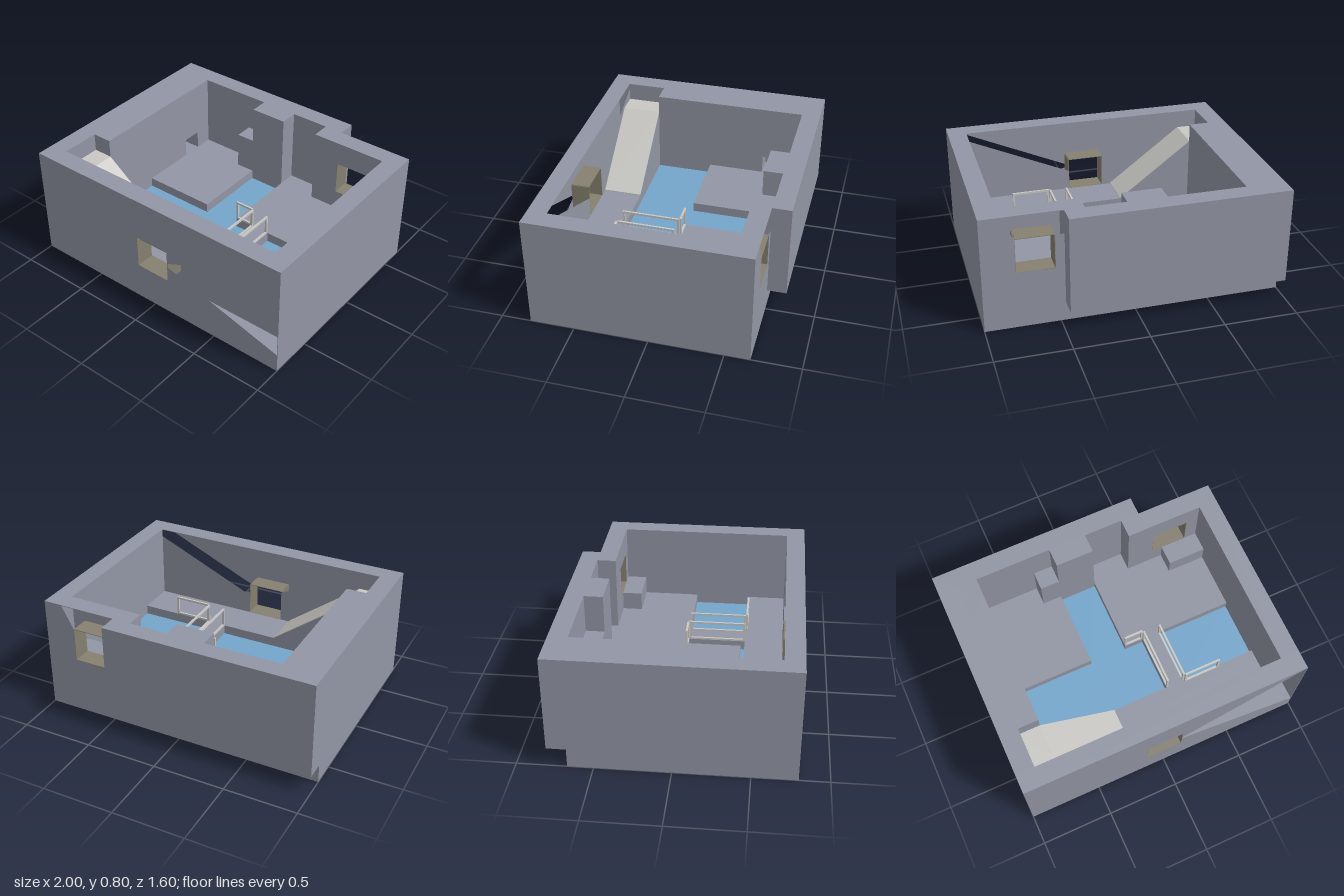
import * as THREE from 'three';

export function createModel() {
  const model = new THREE.Group();
  const mat = (name, color) => {
    const m = new THREE.MeshStandardMaterial({ color, side: THREE.DoubleSide });
    m.name = name;
    return m;
  };
  const stone = mat('grey stone', 0x9296a4);
  const water = mat('blue water', 0x74a6cb);
  const cream = mat('cream trim', 0xc9c8c4);
  const taupe = mat('taupe reveal', 0x85806f);

  const add = (name, geo, material) => {
    const m = new THREE.Mesh(geo, material);
    m.name = name;
    model.add(m);
    return m;
  };
  const box = (name, x0, x1, y0, y1, z0, z1, material = stone) =>
    add(name, new THREE.BoxGeometry(x1 - x0, y1 - y0, z1 - z0), material)
      .position.set((x0 + x1) / 2, (y0 + y1) / 2, (z0 + z1) / 2);
  const shape = pts => new THREE.Shape(pts.map(p => new THREE.Vector2(p[0], p[1])));
  // Flat upright wall skin in an x/y plane
  const skin = (name, z, pts) => { add(name, new THREE.ShapeGeometry(shape(pts)), stone).position.z = z; };
  // Profile in x/y, swept along z
  const sweep = (name, pts, z0, z1, material) => {
    const g = new THREE.ExtrudeGeometry(shape(pts), { depth: z1 - z0, bevelEnabled: false });
    add(name, g, material).position.z = z0;
  };

  const H = 0.8, B = 0.133, D = 0.267, T = 0.004;

  // Base and raised floors
  box('base', -1, 1, 0, B, -0.67, 0.8);
  box('leftFloor', -0.73, -0.2, B, D, -0.67, 0);
  box('rightFloor', 0.065, 0.87, B, D, -0.67, 0);
  box('bridge', 0.2, 0.335, B, D, 0, 0.4);
  box('frontFloor', -0.73, 0.87, B, D, 0.4, 0.67);

  // Pools
  box('channelWater', -0.2, 0.065, B, 0.2, -0.54, 0, water);
  box('leftPool', -0.73, 0.2, B, 0.2, 0, 0.4, water);
  box('rightPool', 0.335, 0.87, B, 0.2, 0, 0.4, water);

  // Side walls, with a low niche and a landing recess on one side
  box('outerSideWall', -1, -0.87, B, H, -0.67, 0.67);
  box('innerSideWall', -0.87, -0.73, B, H, -0.4, 0.4);
  box('nicheLintel', -0.87, -0.73, 0.4, H, -0.54, -0.4);
  box('nicheFloor', -0.87, -0.73, B, D, -0.54, -0.4);
  box('cornerWall', -0.87, -0.73, B, H, -0.67, -0.54);
  box('landing', -0.87, -0.73, B, 0.667, 0.4, 0.67);
  box('sideWall', 0.87, 1, B, H, -0.67, 0.67);

  // Back wall with overhang, pier and blocks
  box('backWall', -1, 0.467, B, H, -0.8, -0.67);
  box('pier', -0.2, 0.065, B, H, -0.67, -0.54);
  box('backPier', 0.335, 0.467, B, H, -0.67, -0.54);
  box('pierBlock', -0.335, -0.2, D, 0.533, -0.67, -0.54);
  box('cornerBlock', 0.6, 0.87, D, 0.4, -0.54, -0.4);

  // Back window bay: outer skin is open above the window
  const W = { x0: 0.53, x1: 0.78, y0: 0.4, y1: 0.635 };
  skin('backBayOuter', -0.67, [[0.467, B], [0.87, B], [0.87, H], [W.x1, W.y1],
    [W.x1, W.y0], [W.x0, W.y0], [W.x0, W.y1], [0.467, W.y1]]);
  const inner = shape([[0.467, B], [0.87, B], [0.87, H], [0.467, H]]);
  inner.holes.push(new THREE.Path([[W.x0, W.y0], [W.x0, W.y1], [W.x1, W.y1], [W.x1, W.y0]]
    .map(p => new THREE.Vector2(p[0], p[1]))));
  add('backBayInner', new THREE.ShapeGeometry(inner), stone).position.z = -0.54;
  box('backBayTop', 0.467, 0.87, H - T, H, -0.67, -0.54);

  // Front wall: two skins with opposing splayed openings
  const F = { x0: -0.133, x1: 0.12, y0: D, y1: 0.5 };
  skin('frontOuter', 0.8, [[-1, B], [1, B], [F.x1, 0.385], [F.x1, F.y0], [F.x0, F.y0],
    [F.x0, F.y1], [F.x1, F.y1], [F.x1, 0.41], [1, H], [-1, H]]);
  skin('frontInner', 0.67, [[-1, B], [1, B], [1, H], [F.x1, 0.41], [F.x1, F.y0],
    [F.x0, F.y0], [F.x0, F.y1], [-1, H]]);
  box('frontTop', -1, 1, H - T, H, 0.67, 0.8);
  for (const s of [-1, 1]) box('frontEnd', s - (s > 0 ? T : 0), s + (s < 0 ? T : 0), B, H, 0.67, 0.8);

  // Window reveals
  const reveal = (w, z0, z1) => {
    box('windowSill', w.x0, w.x1, w.y0 - T, w.y0 + 0.001, z0, z1, taupe);
    box('windowHead', w.x0, w.x1, w.y1, w.y1 + T, z0, z1, taupe);
    box('windowJamb', w.x0 - T, w.x0, w.y0, w.y1, z0, z1, taupe);
    box('windowJamb', w.x1, w.x1 + T, w.y0, w.y1, z0, z1, taupe);
  };
  reveal(F, 0.67, 0.8);
  reveal(W, -0.67, -0.54);

  // Ramp and its cream surface
  sweep('rampBody', [[-0.2, D], [-0.73, 0.667], [-0.73, D]], 0.4, 0.67, stone);
  sweep('rampSurface', [[-0.2, D], [-0.2, 0.272], [-0.73, 0.672], [-0.87, 0.672],
    [-0.87, 0.667], [-0.73, 0.667]], 0.4, 0.67, cream);

  // Open rail frames, running along x or z
  const R = 0.014, top = 0.41;
  const rail = (x0, x1, z0, z1) => {
    const alongX = x1 - x0 > z1 - z0;
    box('railBottom', x0, x1, D, D + R, z0, z1, cream);
    box('railTop', x0, x1, top - R, top, z0, z1, cream);
    box('railPost', x0, alongX ? x0 + R : x1, D, top, z0, alongX ? z1 : z0 + R, cream);
    box('railPost', alongX ? x1 - R : x0, x1, D, top, alongX ? z0 : z1 - R, z1, cream);
  };
  rail(0.065, 0.2, -R, 0);
  rail(0.2, 0.2 + R, 0, 0.4);
  rail(0.335 - R, 0.335, 0, 0.4);
  rail(0.335, 0.6, 0.4, 0.4 + R);

  return model;
}
